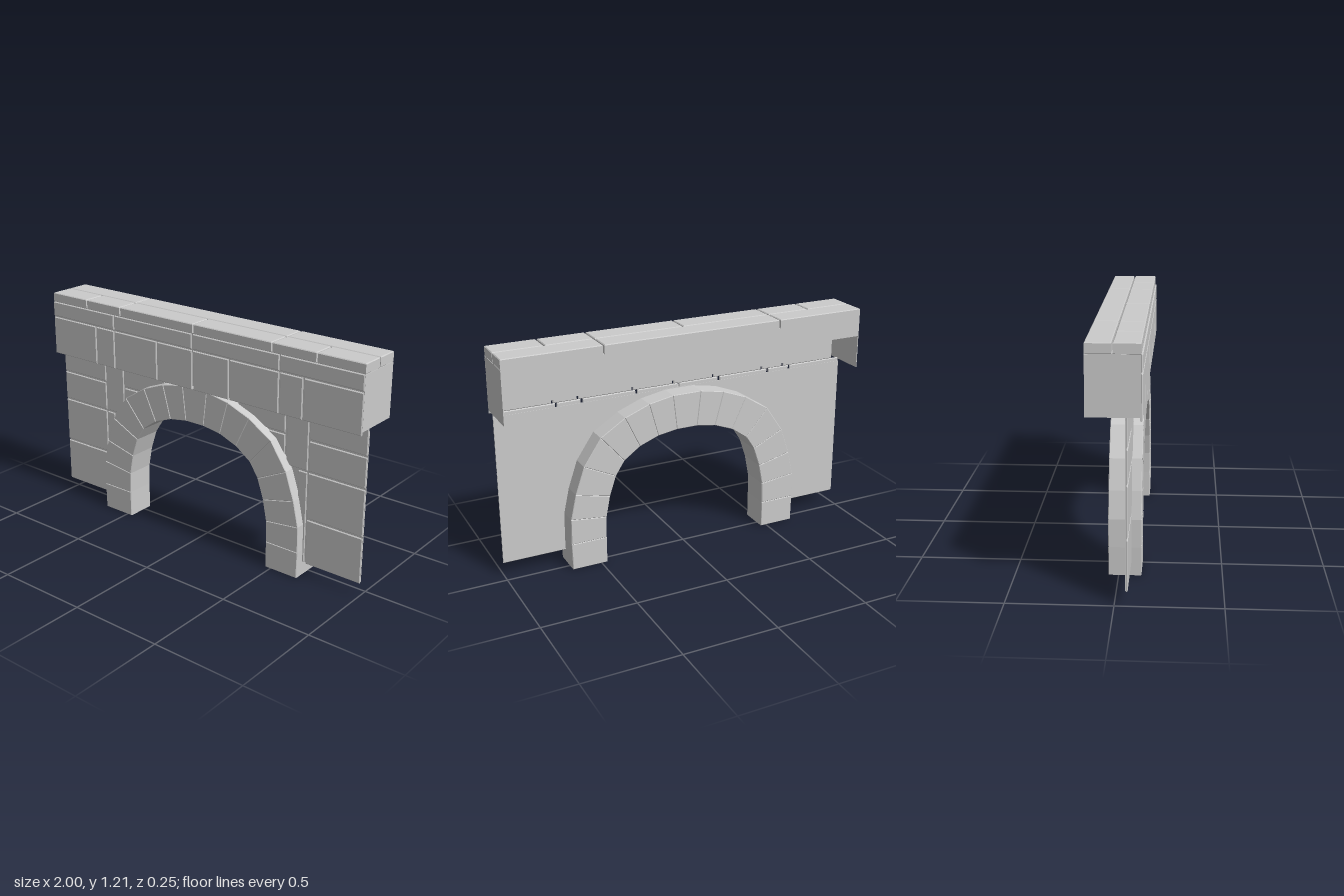
import * as THREE from 'three';

const material = new THREE.MeshStandardMaterial({ color: 0xcccccc, side: THREE.DoubleSide });

function add(parent, name, geometry) {
  const mesh = new THREE.Mesh(geometry, material);
  mesh.name = name;
  parent.add(mesh);
  return mesh;
}

function section(parent, name) {
  const group = new THREE.Group();
  group.name = name;
  parent.add(group);
  return group;
}

// Prism with chamfered edges, between z0 and z1
function stone(points, z0, z1, b) {
  const shape = new THREE.Shape(points.map(([x, y]) => new THREE.Vector2(x, y)));
  return new THREE.ExtrudeGeometry(shape, {
    depth: z1 - z0 - 2 * b, bevelEnabled: true, bevelSize: b, bevelOffset: -b,
    bevelThickness: b, bevelSegments: 1,
  }).translate(0, 0, z0 + b);
}

const rect = (x0, x1, y0, y1) => [[x0, y0], [x1, y0], [x1, y1], [x0, y1]];

function box(x0, x1, y0, y1, z0, z1) {
  return new THREE.BoxGeometry(x1 - x0, y1 - y0, z1 - z0)
    .translate((x0 + x1) / 2, (y0 + y1) / 2, (z0 + z1) / 2);
}

// Row of facing stones split at the given joints
function course(parent, name, joints, y0, y1, z0, z1) {
  for (let i = 0; i < joints.length - 1; i++) {
    const a = joints[i] + (i ? 0.004 : 0);
    const b = joints[i + 1] - (i < joints.length - 2 ? 0.004 : 0);
    add(parent, name, stone(rect(a, b, y0, y1), z0, z1, 0.004));
  }
}

const mirrored = (half) => [
  ...half, ...half.slice().reverse().map(([x, y]) => [-x, y]),
];

export function createModel() {
  const model = new THREE.Group();
  model.name = 'archedWall';

  // Arch ring: joint ends from the left foot to the crown, then mirrored
  const outer = mirrored([[-0.66, 0], [-0.663, 0.145], [-0.66, 0.285], [-0.63, 0.42], [-0.58, 0.565],
    [-0.485, 0.705], [-0.35, 0.79], [-0.215, 0.842], [-0.08, 0.867]]);
  const inner = mirrored([[-0.468, 0], [-0.468, 0.145], [-0.465, 0.262], [-0.443, 0.375], [-0.407, 0.482],
    [-0.358, 0.557], [-0.27, 0.62], [-0.165, 0.66], [-0.058, 0.677]]);
  const arch = section(model, 'arch');
  for (let i = 0; i < outer.length - 1; i++) {
    add(arch, 'archStone', stone([inner[i], inner[i + 1], outer[i + 1], outer[i]], -0.05, 0.11, 0.003));
  }

  // Thin wall panel cut away along the middle of the ring
  const wall = section(model, 'wall');
  const middle = outer.map(([x, y], i) => [(x + inner[i][0]) / 2, (y + inner[i][1]) / 2]);
  middle[0][1] = middle[middle.length - 1][1] = 0.075;
  const outline = [[-1, 0.075], ...middle, [1, 0.075], [1, 0.87], [-1, 0.87]];
  const panel = new THREE.Shape(outline.map(([x, y]) => new THREE.Vector2(x, y)));
  add(wall, 'wallPanel', new THREE.ExtrudeGeometry(panel, { depth: 0.004, bevelEnabled: false })
    .translate(0, 0, 0.05));

  // Wall facing stones, as x and y ranges on one half
  const facing = [
    [0.68, 1, 0.07, 0.315], [0.68, 1, 0.325, 0.57], [0.68, 1, 0.58, 0.737], [0.68, 1, 0.747, 0.89],
    [0.62, 0.672, 0.075, 0.57], [0.545, 0.672, 0.58, 0.89],
    [0.43, 0.535, 0.6, 0.737], [0.245, 0.535, 0.747, 0.89], [0.004, 0.235, 0.8, 0.89],
  ];
  for (const [x0, x1, y0, y1] of facing) {
    add(wall, 'wallStone', stone(rect(x0, x1, y0, y1), 0.052, 0.062, 0.004));
    add(wall, 'wallStone', stone(rect(-x1, -x0, y0, y1), 0.052, 0.062, 0.004));
  }

  // Hollow parapet: front, back and end sheets under a closed top
  const parapet = section(model, 'parapet');
  add(parapet, 'parapetFront', box(-0.998, 0.998, 0.885, 1.16, 0.114, 0.119));
  add(parapet, 'parapetBack', box(-0.998, 0.998, 1.06, 1.165, -0.125, -0.121));
  add(parapet, 'parapetTop', box(-0.998, 0.998, 1.157, 1.165, -0.123, 0.118));
  for (const s of [-1, 1]) {
    add(parapet, 'parapetEnd', box(-0.002, 0.002, 0.883, 1.16, -0.125, 0.119)).position.x = s * 0.998;
  }
  course(parapet, 'lowerCourseStone', [-1, -0.675, -0.54, -0.238, 0, 0.235, 0.537, 0.675, 1], 0.866, 1.075, 0.116, 0.127);
  course(parapet, 'upperCourseStone', [-1, -0.54, 0, 0.537, 1], 1.083, 1.162, 0.116, 0.127);

  // Coping in two rows, extruded upwards
  const coping = section(model, 'coping');
  const rows = [
    [[-1, -0.5, 0.485, 1], -0.125, -0.008],
    [[-1, -0.745, -0.5, 0, 0.485, 0.74, 1], -0.002, 0.12],
  ];
  for (const [joints, z0, z1] of rows) {
    const row = section(coping, 'copingRow');
    course(row, 'copingStone', joints, -z1, -z0, 1.16, 1.212);
    row.rotation.x = -Math.PI / 2;
  }

  return model;
}
